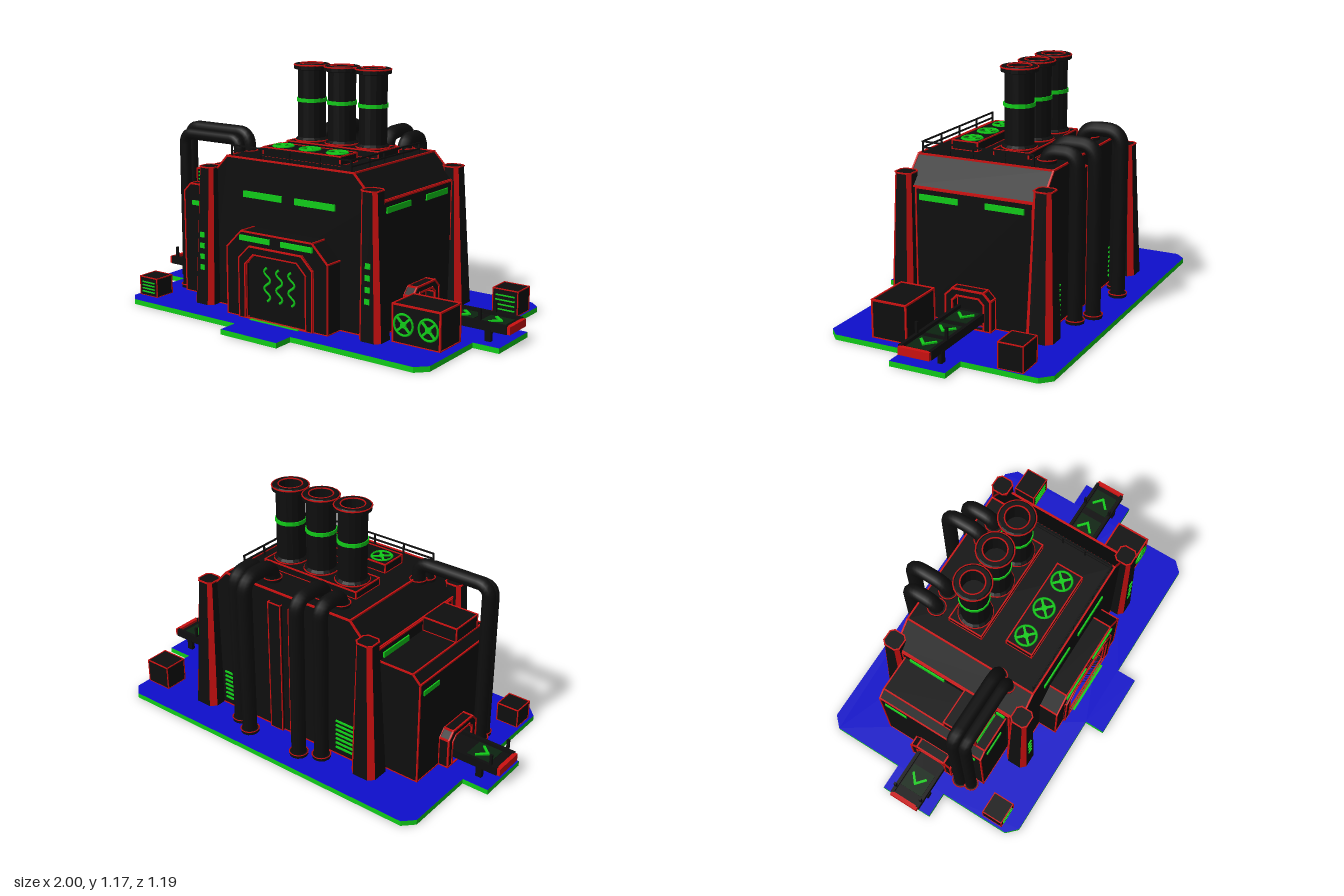
import * as THREE from 'three';
import { mergeGeometries } from 'three/addons/utils/BufferGeometryUtils.js';

const mat = (name, color) => {
  const m = new THREE.MeshStandardMaterial({ color });
  m.name = name;
  return m;
};

export function createModel() {
  const black = mat('black panel', 0x0e0e0e), red = mat('red trim', 0xcc1010);
  const green = mat('green light', 0x10cc18), blue = mat('blue floor', 0x0e0ecc);
  const dark = mat('dark green belt', 0x0c2410);
  const model = new THREE.Group();
  model.name = 'factory';

  const V = (x, y, z) => new THREE.Vector3(x, y, z);
  const add = (name, geo, material) => {
    const m = new THREE.Mesh(geo, material);
    m.name = name;
    model.add(m);
    return m;
  };
  // Box from its min and max corners
  const boxGeo = (x0, x1, y0, y1, z0, z1) =>
    new THREE.BoxGeometry(x1 - x0, y1 - y0, z1 - z0).translate((x0 + x1) / 2, (y0 + y1) / 2, (z0 + z1) / 2);
  const box = (name, material, ...b) => add(name, boxGeo(...b), material);
  // Square bar between two points
  const barGeo = (a, b, t) => {
    const g = new THREE.BoxGeometry(t, t, a.distanceTo(b) + t);
    g.lookAt(b.clone().sub(a));
    return g.translate((a.x + b.x) / 2, (a.y + b.y) / 2, (a.z + b.z) / 2);
  };
  // Black solid with red bars along its sharp edges
  const trimmed = (name, geo, t = 0.008) => {
    add(name, geo, black);
    const p = new THREE.EdgesGeometry(geo, 20).attributes.position, bars = [];
    for (let i = 0; i < p.count; i += 2) {
      const a = V().fromBufferAttribute(p, i), b = V().fromBufferAttribute(p, i + 1);
      if (a.distanceTo(b) > 0.001) bars.push(barGeo(a, b, t));
    }
    add(name + 'Trim', mergeGeometries(bars), red);
  };
  const shapeOf = pts => new THREE.Shape(pts.map(p => new THREE.Vector2(...p)));
  const extrude = (shape, depth) =>
    new THREE.ExtrudeGeometry(shape, { depth, bevelEnabled: false, curveSegments: 1 });
  const archPts = (w, h, c, y0 = 0.025) =>
    [[-w, y0], [w, y0], [w, h - c], [w - c, h], [c - w, h], [-w, h - c]];
  const arch = (outer, inner) => {
    const s = shapeOf(archPts(...outer));
    s.holes.push(new THREE.Path(archPts(...inner).reverse().map(p => new THREE.Vector2(...p))));
    return s;
  };

  // Base plate: chamfered floor with a front step and two side tabs
  const half = [[0.16, -0.59], [0.16, -0.49], [0.8, -0.49], [0.85, -0.44], [0.85, -0.08], [0.98, -0.08],
    [0.98, 0.19], [0.85, 0.19], [0.85, 0.55], [0.8, 0.6]];
  const floor = shapeOf([...half, ...half.map(([x, y]) => [-x, y]).reverse()]);
  add('basePlate', extrude(floor, 0.02).rotateX(-Math.PI / 2), [black, green]);
  add('floorSurface', extrude(floor, 0.005).rotateX(-Math.PI / 2).translate(0, 0.02, 0), [blue, green]);

  // Main hall with sloped shoulders, and side panels
  trimmed('hall', extrude(shapeOf([[-0.475, 0.025], [0.475, 0.025], [0.475, 0.635], [0.36, 0.755],
    [-0.36, 0.755], [-0.475, 0.635]]), 0.675).translate(0, 0, -0.385));
  for (const s of [-1, 1]) {
    const x = s * 0.477;
    trimmed('sidePanel', boxGeo(x - 0.004, x + 0.004, 0.025, 0.632, -0.345, 0.235), 0.007);
    for (const [z0, z1] of [[0.02, 0.215], [-0.305, -0.115]])
      box('sideWindow', green, s * 0.484 - 0.004, s * 0.484 + 0.004, 0.578, 0.605, z0, z1);
    box('frontWindow', green, s * 0.15 - 0.112, s * 0.15 + 0.112, 0.572, 0.602, 0.288, 0.297);
    // Rear vents and upright wall panels
    trimmed('rearPanel', boxGeo(s * 0.06 - 0.035, s * 0.06 + 0.035, 0.025, 0.7, -0.4, -0.38), 0.005);
    for (let i = 0; i < 7; i++)
      box('rearVentSlat', green, s * 0.34 - 0.055, s * 0.34 + 0.055, 0.06 + i * 0.024, 0.068 + i * 0.024, -0.392, -0.384);
  }

  // Corner towers: tapered octagons with red chamfer faces
  const tower = (sx, b, t) => {
    const section = ([x, z, h], y) => [[1, 0.6], [0.6, 1], [-0.6, 1], [-1, 0.6], [-1, -0.6], [-0.6, -1], [0.6, -1], [1, -0.6]]
      .map(([i, k]) => V(sx * x + i * h, y, z + k * h));
    const lo = section(b, 0.025), hi = section(t, 0.695), pts = [], g = new THREE.BufferGeometry();
    for (let i = 0; i < 8; i++) {
      const j = (i + 1) % 8;
      pts.push(lo[i], hi[i], lo[j], lo[j], hi[i], hi[j]);
      g.addGroup(i * 6, 6, i % 2 ? 0 : 1);
    }
    for (let i = 1; i < 7; i++) pts.push(hi[0], hi[i + 1], hi[i]);
    g.addGroup(48, 18, 0);
    g.setFromPoints(pts);
    g.computeVertexNormals();
    add('cornerTower', g, [black, red]);
    add('towerTopTrim', mergeGeometries(hi.map((p, i) => barGeo(p, hi[(i + 1) % 8], 0.006))), red);
  };
  for (const s of [-1, 1]) {
    tower(s, [0.48, 0.297, 0.058], [0.463, 0.295, 0.042]);
    tower(s, [0.48, -0.398, 0.066], [0.463, -0.394, 0.042]);
    for (let i = 0; i < 4; i++)
      box('towerLight', green, s * 0.475 - 0.013, s * 0.475 + 0.013, 0.197 + i * 0.053, 0.222 + i * 0.053, 0.344, 0.354 - i * 0.001);
  }

  // Front gate: surround, inner frame, door and heat symbol
  trimmed('gateSurround', extrude(arch([0.288, 0.435, 0.085], [0.18, 0.335, 0.05]), 0.1).translate(0, 0, 0.285), 0.007);
  trimmed('gateFrame', extrude(arch([0.21, 0.37, 0.06], [0.175, 0.335, 0.05]), 0.012).translate(0, 0, 0.383), 0.006);
  box('gateDoor', black, -0.18, 0.18, 0.025, 0.335, 0.28, 0.36);
  box('gateThreshold', green, -0.14, 0.14, 0.024, 0.028, 0.39, 0.41);
  for (const s of [-1, 1])
    box('gateLamp', green, s * 0.12 - 0.088, s * 0.12 + 0.088, 0.394, 0.418, 0.383, 0.395);
  for (const x of [-0.07, 0, 0.07]) {
    const pts = [];
    for (let i = 0; i <= 16; i++) pts.push(V(x + 0.018 * Math.sin(i / 16 * Math.PI * 4), 0.115 + i * 0.01, 0));
    add('heatWave', new THREE.TubeGeometry(new THREE.CatmullRomCurve3(pts), 32, 0.006, 4)
      .scale(1, 1, 0.5).translate(0, 0, 0.363), green);
  }

  // Green fan: ring with crossed blades, facing +z or up
  const fan = (x, y, z, r, up) => {
    const parts = [new THREE.TorusGeometry(r, 0.006, 4, 20)];
    for (const a of [1, -1]) parts.push(new THREE.BoxGeometry(r * 2, 0.011, 0.006).rotateZ(a * Math.PI / 4));
    parts.push(new THREE.CylinderGeometry(0.014, 0.014, 0.008, 10).rotateX(Math.PI / 2));
    const g = mergeGeometries(parts);
    if (up) g.rotateX(-Math.PI / 2);
    add('fan', g.translate(x, y, z), green);
  };

  // Roof: fan deck, chimney deck and chimneys
  trimmed('fanDeck', boxGeo(-0.22, 0.22, 0.755, 0.798, 0.062, 0.195), 0.006);
  trimmed('chimneyDeck', boxGeo(-0.265, 0.265, 0.755, 0.79, -0.218, -0.045), 0.006);
  for (const x of [-0.155, 0, 0.155]) fan(x, 0.8, 0.125, 0.048, true);
  const lathe = (name, pts, x, material, z = -0.13, n = 16) => {
    const g = new THREE.LatheGeometry(pts.map(p => new THREE.Vector2(...p)), n).toNonIndexed();
    g.computeVertexNormals();
    add(name, g.translate(x, 0, z), material);
  };
  for (const x of [-0.178, 0, 0.178]) {
    lathe('chimney', [[0.08, 0.785], [0.08, 0.8], [0.068, 0.81], [0.068, 1.135], [0.086, 1.14], [0.086, 1.158],
      [0.078, 1.165], [0.055, 1.165], [0.055, 1.05], [0, 1.05]], x, black);
    lathe('chimneyBand', [[0.067, 0.982], [0.073, 0.982], [0.073, 1], [0.067, 1]], x, green);
    for (const [r, y] of [[0.085, 1.159], [0.056, 1.164], [0.08, 0.795]])
      add('chimneyRimTrim', new THREE.TorusGeometry(r, 0.004, 4, 20).rotateX(Math.PI / 2).translate(x, y, -0.13), red);
  }

  // Roof railing along the front and right side
  const rails = [];
  for (const y of [0.78, 0.807]) {
    rails.push(barGeo(V(-0.34, y, 0.28), V(0.34, y, 0.28), 0.007));
    rails.push(barGeo(V(0.34, y, 0.28), V(0.34, y, -0.28), 0.007));
  }
  for (const x of [-0.34, -0.17, 0, 0.17, 0.34]) rails.push(barGeo(V(x, 0.755, 0.28), V(x, 0.807, 0.28), 0.007));
  for (const z of [0.14, 0.02, -0.14, -0.28]) rails.push(barGeo(V(0.34, 0.755, z), V(0.34, 0.807, z), 0.007));
  add('roofRailing', mergeGeometries(rails), black);

  // Pipes: a riser, two rounded bends and a drop, with flanges at both ends
  const pipe = (name, a, b, top, r, bend) => {
    const up = V(a.x, top, a.z), over = V(b.x, top, b.z), path = new THREE.CurvePath();
    const dir = over.clone().sub(up).normalize().multiplyScalar(bend);
    const u0 = V(a.x, top - bend, a.z), u1 = up.clone().add(dir);
    const o0 = over.clone().sub(dir), o1 = V(b.x, top - bend, b.z);
    path.add(new THREE.LineCurve3(a, u0));
    path.add(new THREE.QuadraticBezierCurve3(u0, up, u1));
    path.add(new THREE.LineCurve3(u1, o0));
    path.add(new THREE.QuadraticBezierCurve3(o0, over, o1));
    path.add(new THREE.LineCurve3(o1, b));
    add(name, new THREE.TubeGeometry(path, 80, r, 10), black);
    for (const p of [a, b]) {
      add(name + 'Flange', new THREE.CylinderGeometry(r * 1.25, r * 1.25, 0.016, 12).translate(p.x, p.y + 0.008, p.z), black);
      add(name + 'FlangeTrim', new THREE.TorusGeometry(r * 1.25, 0.003, 4, 14).rotateX(Math.PI / 2).translate(p.x, p.y + 0.016, p.z), red);
    }
  };
  for (const s of [-1, 1]) {
    pipe('rearOuterPipe', V(s * 0.15, 0.025, -0.493), V(s * 0.15, 0.755, -0.3), 0.832, 0.035, 0.075);
    pipe('rearInnerPipe', V(s * 0.245, 0.025, -0.445), V(s * 0.245, 0.755, -0.3), 0.81, 0.035, 0.06);
  }
  pipe('sidePipe', V(-0.745, 0.025, 0.115), V(-0.37, 0.74, 0.115), 0.838, 0.032, 0.06);
  pipe('sidePipe', V(-0.735, 0.025, 0.17), V(-0.385, 0.73, 0.17), 0.812, 0.028, 0.05);

  // Side annex with rooftop vent box and lights
  trimmed('annex', extrude(shapeOf([[-0.7, 0.025], [-0.46, 0.025], [-0.46, 0.575], [-0.66, 0.575], [-0.7, 0.535]]), 0.555)
    .translate(0, 0, -0.335), 0.007);
  trimmed('annexVentBox', boxGeo(-0.66, -0.48, 0.575, 0.643, 0, 0.17), 0.006);
  for (const y of [0.592, 0.609, 0.626]) box('annexVentSlat', green, -0.65, -0.5, y - 0.003, y + 0.003, 0.168, 0.175);
  box('annexFrontLight', green, -0.65, -0.53, 0.47, 0.493, 0.218, 0.226);
  box('annexSideLight', green, -0.706, -0.698, 0.47, 0.493, -0.31, -0.19);
  box('annexSideLight', green, -0.706, -0.698, 0.47, 0.493, 0.16, 0.19);

  // Cooling unit and vented crates
  trimmed('coolingUnit', boxGeo(0.56, 0.8, 0.025, 0.2, 0.105, 0.275));
  for (const x of [0.617, 0.743]) fan(x, 0.113, 0.279, 0.048, false);
  for (const [x0, x1, h, z0, z1] of [[-0.835, -0.725, 0.118, 0.305, 0.41], [0.71, 0.84, 0.143, -0.478, -0.362]]) {
    trimmed('crate', boxGeo(x0, x1, 0.025, h, z0, z1), 0.005);
    for (let i = 0; i < 4; i++) {
      const y = 0.045 + i * (h - 0.06) / 3.6;
      box('crateSlat', green, x0 + 0.015, x1 - 0.015, y - 0.003, y + 0.003, z1 - 0.003, z1 + 0.005);
    }
  }

  // Conveyors with portals, rails, rollers and arrow marks
  const conveyor = (s, frame, arrows, post) => {
    const b = (name, m, x0, x1, ...r) => box(name, m, Math.min(s * x0, s * x1), Math.max(s * x0, s * x1), ...r);
    trimmed('portal', extrude(arch([0.113, 0.205, 0.035], [0.08, 0.175, 0.025]), 0.05)
      .rotateY(Math.PI / 2).translate(s * frame + (s < 0 ? -0.05 : 0), 0, -0.05), 0.008);
    b('conveyorBed', black, frame, 0.98, 0.07, 0.095, -0.125, 0.02);
    b('conveyorEnd', red, 0.98, 1, 0.072, 0.108, -0.128, 0.023);
    for (const z of [-0.125, 0.02]) {
      b('conveyorRail', black, frame, 0.985, 0.072, 0.112, z - 0.008, z + 0.008);
      b('conveyorPost', black, post - 0.006, post + 0.006, 0.1, 0.165, z - 0.006, z + 0.006);
      b('conveyorLeg', black, 0.88, 0.91, 0.025, 0.08, z - 0.01, z + 0.01);
    }
    b('sensorBar', red, frame + 0.01, frame + 0.03, 0.165, 0.175, -0.1, 0);
    for (const x of arrows) {
      b('beltSegment', dark, x - 0.06, x + 0.06, 0.094, 0.099, -0.112, 0.008);
      for (const k of [-1, 1])
        add('beltArrow', barGeo(V(s * (x + 0.022), 0.1, -0.053), V(s * (x - 0.018), 0.1, -0.053 + k * 0.035), 0.012), green);
    }
  };
  conveyor(1, 0.48, [0.57, 0.735, 0.895], 0.85);
  conveyor(-1, 0.7, [0.87], 0.95);
  return model;
}
